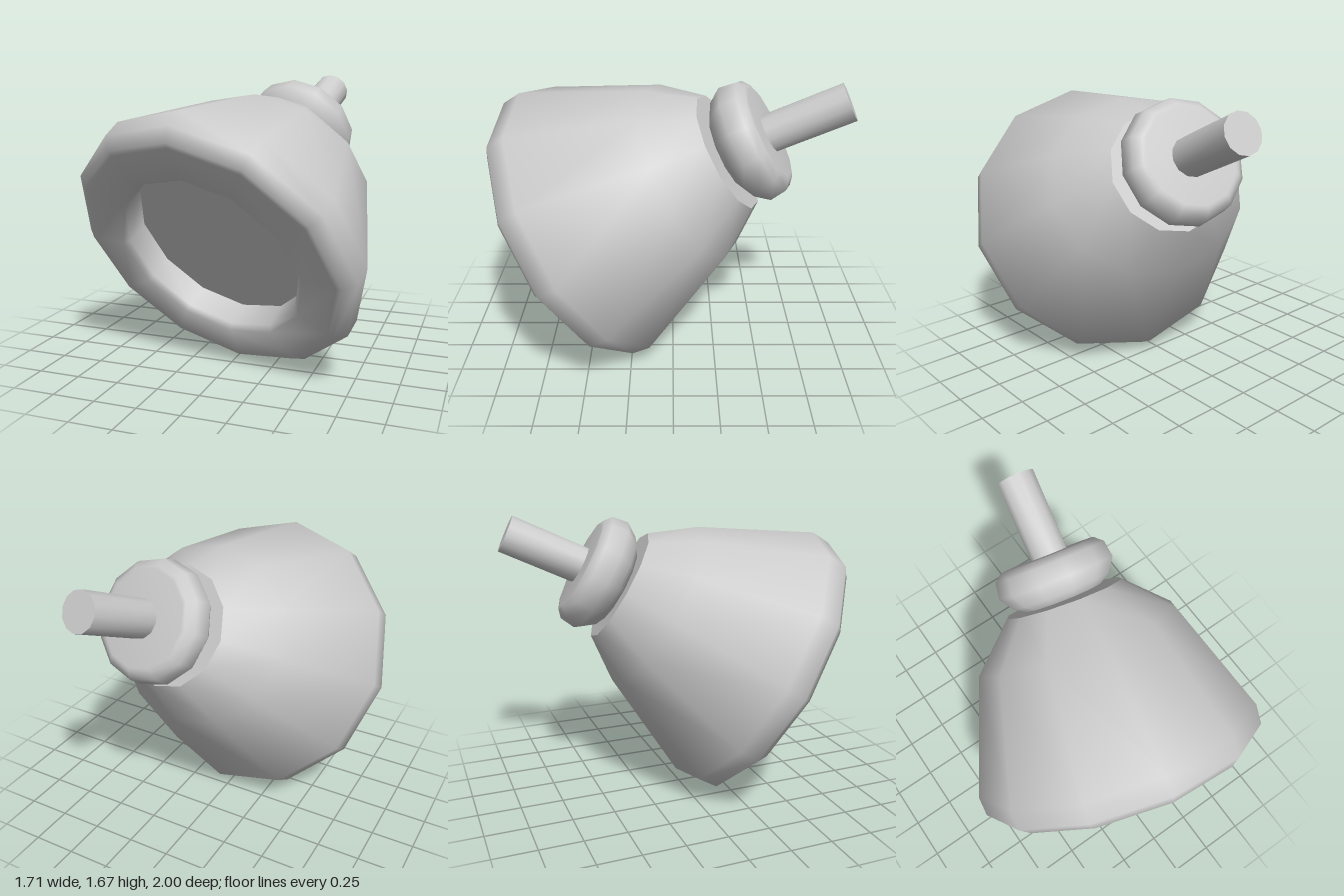
import * as THREE from 'three';
import { toCreasedNormals } from 'three/addons/utils/BufferGeometryUtils.js';

const SIDES = 12;
const V = (x, y, z) => new THREE.Vector3(x, y, z);

// Turned part: profile of [radius, distance along axis, sideways widening], placed at origin along axis
function turned(name, profile, origin, axis) {
  const points = profile.map(([r, h]) => new THREE.Vector2(r, h));
  const lathe = new THREE.LatheGeometry(points, SIDES);
  const position = lathe.attributes.position;
  for (let i = 0; i < position.count; i++) {
    const [, , widen = 1] = profile[i % profile.length];
    position.setX(i, position.getX(i) * widen);
  }
  const geometry = toCreasedNormals(lathe, 1.05);
  const y = axis.clone().normalize();
  const z = V(0.04, -0.735, -0.435);
  z.addScaledVector(y, -z.dot(y)).normalize();
  const x = new THREE.Vector3().crossVectors(y, z);
  geometry.applyMatrix4(new THREE.Matrix4().makeBasis(x, y, z).setPosition(origin));
  const mesh = new THREE.Mesh(geometry, new THREE.MeshStandardMaterial({ color: 0xcccccc }));
  mesh.name = name;
  return mesh;
}

export function createModel() {
  const model = new THREE.Group();
  model.name = 'model';

  // Bell-shaped housing with a round recess in its front face
  const backCentre = V(0.18, 1.258, -0.31);
  const housingAxis = V(0.22, 0.61, -1);
  model.add(turned('housing', [
    [0, -0.89], [0.54, -0.89],                            // recess floor
    [0.54, -1.04], [0.57, -1.07],                         // recess wall and soft lip
    [0.76, -1.07], [0.79, -1.07],                         // front face
    [0.855, -1.015], [0.86, -0.897],                      // rounded rim
    [0.53, -0.243, 1.15], [0.35, 0],                      // shoulder, wider sideways
  ], backCentre, housingAxis));

  // Flat plate closing the back of the housing
  model.add(turned('backPlate', [[0.35, 0], [0, 0]], backCentre, housingAxis));

  // Rounded collar behind the housing
  model.add(turned('collar', [
    [0, -0.14], [0.23, -0.14], [0.295, -0.1], [0.35, -0.02],
    [0.335, 0.075], [0.29, 0.112], [0.27, 0.115], [0, 0.115],
  ], V(0.205, 1.33, -0.433), V(0.185, 0.57, -1)));

  // Straight stem
  model.add(turned('stem', [
    [0, -0.55], [0.11, -0.55], [0.11, 0], [0, 0],
  ], V(0.298, 1.58, -0.943), V(0.156, 0.476, -1)));

  return model;
}
